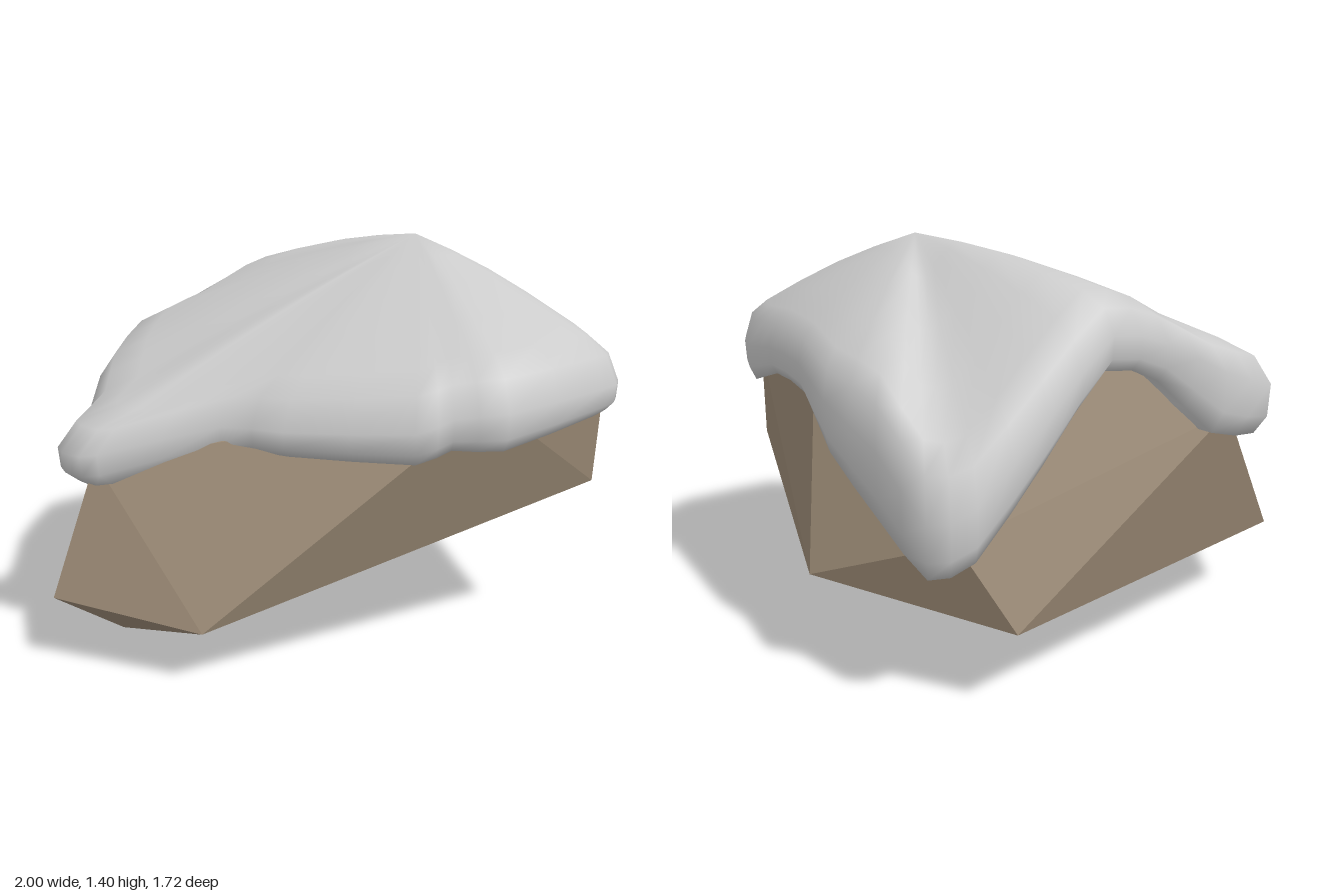
import * as THREE from 'three';
import { ConvexGeometry } from 'three/addons/geometries/ConvexGeometry.js';
import { mergeVertices } from 'three/addons/utils/BufferGeometryUtils.js';

const v = (x, y, z) => new THREE.Vector3(x, y, z);

// Faceted boulder: the hull of its corners
function createRock() {
  const corners = [
    // underside and lower corners
    v(-0.69, 0, -0.2), v(0.45, 0.12, -0.3), v(-1, 0.25, -0.05), v(-0.66, 0.2, 0.38),
    v(1, 0.38, -0.16), v(0.72, 0.58, 0.73), v(0.62, 0.29, -0.75), v(-0.63, 0.3, -0.62),
    // upper corners, mostly below the snow
    v(0.76, 0.58, -0.64), v(0.7, 0.9, 0.77), v(0.2, 0.94, 0.75), v(0.87, 0.93, 0),
    v(-0.82, 0.7, -0.07), v(-0.2, 0.85, -0.8), v(0.25, 1.1, -0.62), v(0.45, 1.22, 0),
  ];
  const material = new THREE.MeshStandardMaterial({ color: 0x9c8b76, flatShading: true });
  return new THREE.Mesh(new ConvexGeometry(corners), material);
}

// Snow outline, one row per spoke: outer x, outer z, outer y, rim y, shoulder y
const SPOKES = [
  [0.94, -0.2, 0.95, 0.78, 1.1], [0.91, 0.02, 1.02, 0.92, 1.14],
  [0.89, 0.27, 1.02, 0.93, 1.15], [0.87, 0.5, 0.98, 0.86, 1.13],
  [0.75, 0.79, 0.95, 0.86, 1.1], [0.62, 0.85, 0.95, 0.85, 1.11],
  [0.2, 0.85, 0.92, 0.79, 1.09], [0.06, 0.75, 0.9, 0.79, 1.07],
  [-0.06, 0.71, 0.86, 0.75, 1.04], [-0.36, 0.4, 0.84, 0.75, 1.0],
  [-0.48, 0.2, 0.83, 0.74, 0.98], [-0.84, 0, 0.74, 0.63, 0.87],
  [-0.9, -0.08, 0.73, 0.62, 0.87], [-0.9, -0.2, 0.73, 0.62, 0.87],
  [-0.74, -0.31, 0.8, 0.66, 0.93], [-0.58, -0.58, 0.87, 0.73, 1.01],
  [-0.34, -0.85, 0.93, 0.76, 1.08], [-0.13, -0.85, 1.0, 0.8, 1.14],
  [0.04, -0.76, 1.1, 0.98, 1.24], [0.25, -0.74, 1.15, 1.04, 1.28],
  [0.5, -0.75, 0.94, 0.8, 1.11], [0.76, -0.75, 0.72, 0.55, 0.91],
  [0.88, -0.67, 0.68, 0.5, 0.9], [0.91, -0.45, 0.85, 0.62, 1.06],
];
const APEX = v(0.48, 1.4, -0.01);
const SHOULDER = 0.85;

// Each ring: distance along the spoke and its height rule
const slope = (f) => [f, (o, rim, s) => THREE.MathUtils.lerp(APEX.y, s, f / SHOULDER)
  + 0.02 * Math.sin((Math.PI * f) / SHOULDER)];
const RINGS = [
  slope(0), slope(0.22), slope(0.44), slope(0.66), slope(SHOULDER),
  [0.95, (o, rim, s) => o + (s - o) * 0.62],
  [1, (o) => o],
  [0.995, (o, rim) => rim + (o - rim) * 0.35],
  [0.96, (o, rim) => rim],
  [0.78, (o, rim) => rim + 0.04],
];

// Smooth snow blanket: closed rings from the apex out to the rim, tucked into the rock
function createSnow() {
  const n = SPOKES.length * 2;
  const positions = [];
  const indices = [];
  RINGS.forEach(([f, height], r) => {
    const points = SPOKES.map(([x, z, o, rim, s]) => v(
      APEX.x + (x - APEX.x) * f, height(o, rim, s), APEX.z + (z - APEX.z) * f));
    const curve = new THREE.CatmullRomCurve3(points, true, 'catmullrom', 0.3);
    for (let i = 0; i < n; i++) {
      const p = r === 0 ? APEX : curve.getPoint(i / n);
      positions.push(p.x, p.y, p.z);
      if (r === RINGS.length - 1) continue;
      const a = r * n + i, b = r * n + ((i + 1) % n);
      if (r > 0) indices.push(a, b, b + n);
      indices.push(a, b + n, a + n);
    }
  });
  let geometry = new THREE.BufferGeometry();
  geometry.setAttribute('position', new THREE.Float32BufferAttribute(positions, 3));
  geometry.setIndex(indices);
  geometry = mergeVertices(geometry);
  geometry.computeVertexNormals();
  const material = new THREE.MeshStandardMaterial({ color: 0xcccccc, side: THREE.DoubleSide });
  return new THREE.Mesh(geometry, material);
}

export function createModel() {
  const group = new THREE.Group();
  group.name = 'snowyRock';
  const rock = createRock();
  rock.name = 'rock';
  const snow = createSnow();
  snow.name = 'snowCap';
  group.add(rock, snow);
  return group;
}
